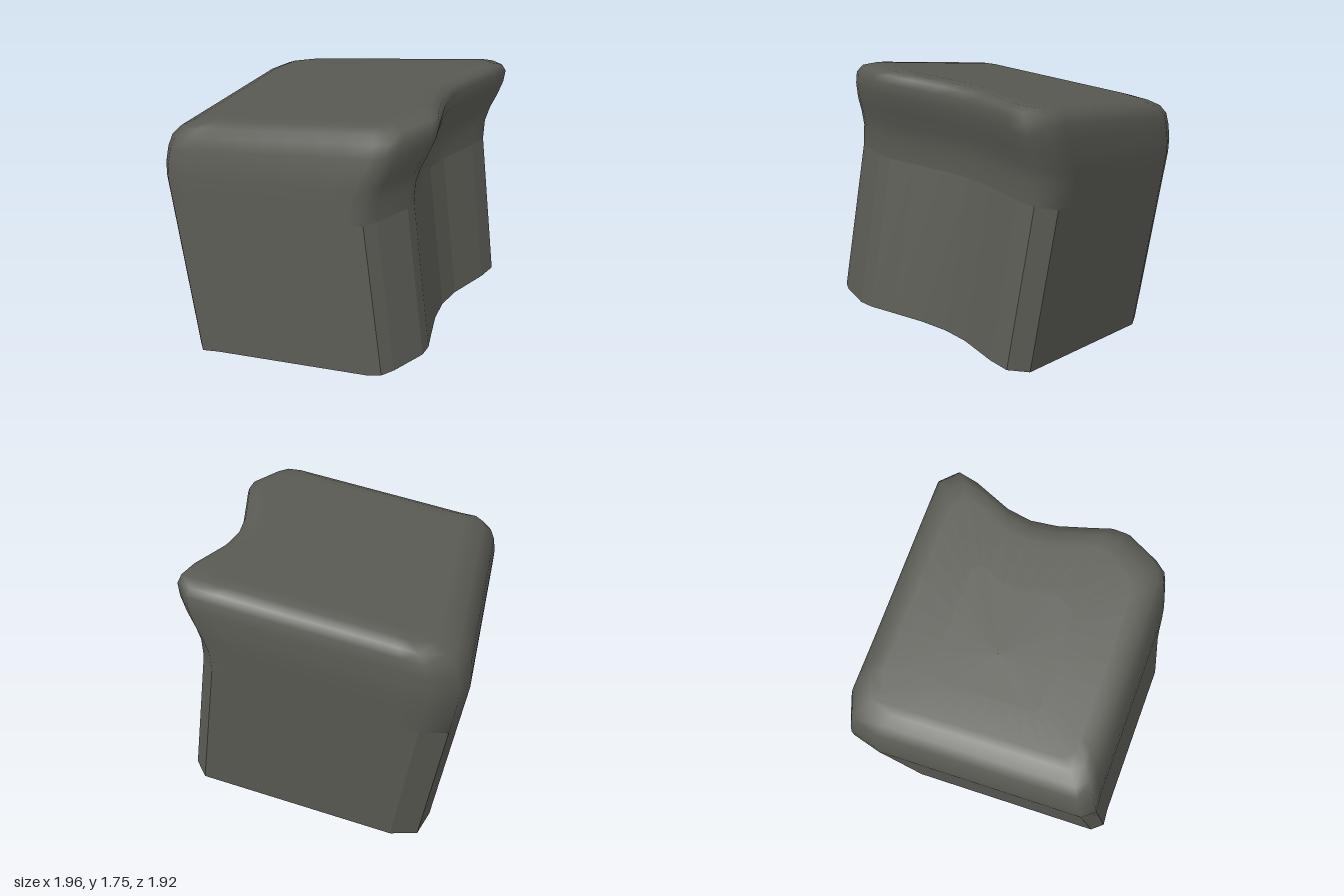
import * as THREE from 'three';

// Base outline (x, z), counterclockwise seen from above, starting at the front corner
const OUTLINE = [
  [-0.55, 0.87], [-0.50, 0.93], [-0.42, 0.95], [-0.20, 0.96], [-0.12, 0.93], [0.0, 0.84],
  [0.15, 0.73], [0.30, 0.65], [0.46, 0.61], [0.73, 0.60], [0.86, 0.575], [0.915, 0.46],
  [0.45, -0.63], [0.33, -0.75], [0.15, -0.72], [-0.96, -0.20], [-1.0, -0.12], [-0.95, -0.03],
];
const TILT = 0.185;
const SIDE = [0.913, -0.408], FRONT = [0.408, 0.913]; // the block is turned about its upright axis
const SKIRT_TOP = 0.92;

// Crown sections: height, forward overhang, back inset, side inset, scale about the middle
const CROWN = [
  [0.92, 0, 0, 0, 1], [1.04, 0.02, 0, 0, 1], [1.13, 0.06, 0, 0, 1],
  [1.21, 0.11, 0.01, 0.005, 1], [1.30, 0.158, 0.035, 0.02, 1], [1.37, 0.18, 0.07, 0.035, 1],
  [1.415, 0.168, 0.125, 0.065, 1], [1.44, 0.115, 0.20, 0.12, 1],
  [1.447, 0.115, 0.20, 0.12, 0.9], [1.447, 0.115, 0.20, 0.12, 0.5], [1.447, 0.115, 0.20, 0.12, 0.001],
];

// Outline in turned coordinates, with long walls divided
function turnedOutline() {
  const pts = [];
  OUTLINE.forEach(([x, z], i) => {
    const [x2, z2] = OUTLINE[(i + 1) % OUTLINE.length];
    const n = Math.hypot(x2 - x, z2 - z) > 0.5 ? 8 : 1;
    for (let k = 0; k < n; k++) {
      const px = x + (x2 - x) * k / n, pz = (z + (z2 - z) * k / n) / Math.cos(TILT);
      pts.push([px * SIDE[0] + pz * SIDE[1], px * FRONT[0] + pz * FRONT[1]]);
    }
  });
  return pts;
}

// Shape one cross-section
function section(pts, [h, over, back, inset, scale]) {
  return pts.map(([s, t]) => {
    const t1 = t + over * THREE.MathUtils.smoothstep(t, 0, 0.6)
      + back * THREE.MathUtils.smoothstep(-t, 0, 0.5);
    const s1 = -0.1 + (s + 0.1) * (1 - inset / 0.76);
    const a = -0.1 + (s1 + 0.1) * scale, b = 0.1 + (t1 - 0.1) * scale;
    return [a * SIDE[0] + b * FRONT[0], h, a * SIDE[1] + b * FRONT[1]];
  });
}

function loft(rings) {
  const n = rings[0].length, index = [];
  for (let r = 0; r < rings.length - 1; r++) {
    for (let i = 0; i < n; i++) {
      const a = r * n + i, b = r * n + (i + 1) % n;
      index.push(a, b, b + n, a, b + n, a + n);
    }
  }
  const geo = new THREE.BufferGeometry();
  geo.setAttribute('position', new THREE.Float32BufferAttribute(rings.flat(2), 3));
  geo.setIndex(index);
  geo.computeVertexNormals();
  return geo;
}

export function createModel() {
  const grey = new THREE.MeshStandardMaterial({ color: 0x5a5a54, side: THREE.DoubleSide });
  grey.name = 'darkWarmGrey';
  const pts = turnedOutline();

  // Straight faceted skirt, open underneath
  const skirtGeo = loft([section(pts, [0, 0, 0, 0, 1]), section(pts, [SKIRT_TOP, 0, 0, 0, 1])]).toNonIndexed();
  skirtGeo.computeVertexNormals();
  const skirt = new THREE.Mesh(skirtGeo, grey);
  skirt.name = 'skirt';

  // Smooth rounded crown with the overhanging front lip
  const crown = new THREE.Mesh(loft(CROWN.map((row) => section(pts, row))), grey);
  crown.name = 'crown';

  const block = new THREE.Group();
  block.name = 'tiltedBlock';
  block.add(skirt, crown);
  block.rotation.x = -TILT;
  block.position.y = 0.142;

  const model = new THREE.Group();
  model.name = 'hollowBlock';
  model.add(block);
  return model;
}
